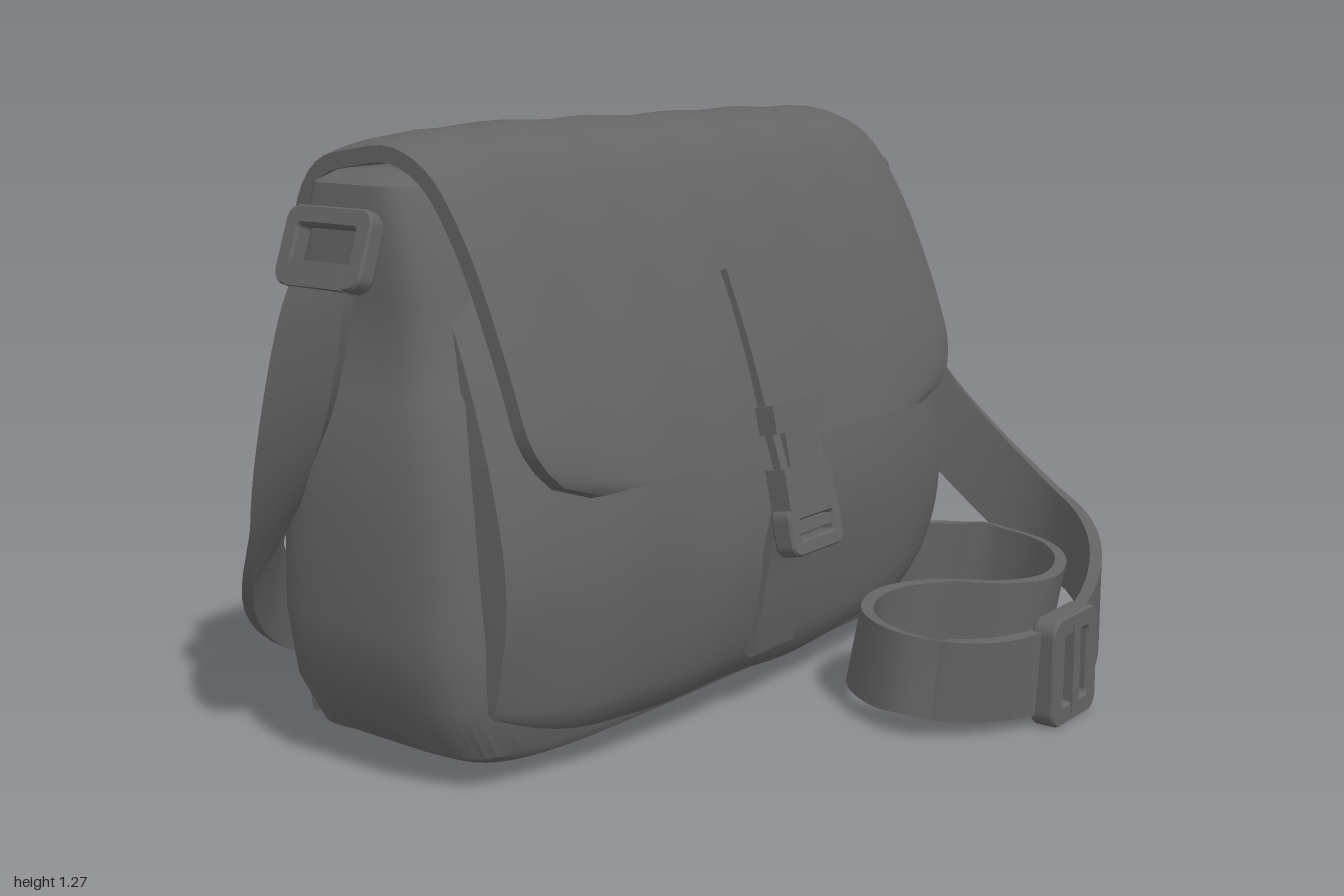
import * as THREE from 'three';
import { toCreasedNormals } from 'three/addons/utils/BufferGeometryUtils.js';

const fabric = new THREE.MeshStandardMaterial({ color: 0x646464 });
fabric.name = 'grey fabric';
const V = (x, y, z) => new THREE.Vector3(x, y, z);

// Closed solid through a list of equal-length rings, facing outward
function loft(rings, crease = 0.6) {
  const n = rings[0].length, m = rings.length;
  const pts = rings.flat(), faces = [];
  for (let i = 0; i < m - 1; i++) {
    for (let j = 0; j < n; j++) {
      const a = i * n + j, b = i * n + (j + 1) % n;
      faces.push([a, b, b + n], [a, b + n, a + n]);
    }
  }
  const centre = (r) => r.reduce((s, p) => s.add(p), V(0, 0, 0)).divideScalar(n);
  const c0 = pts.push(centre(rings[0])) - 1, c1 = pts.push(centre(rings[m - 1])) - 1;
  for (let j = 0; j < n; j++) {
    const k = (j + 1) % n, e = (m - 1) * n;
    faces.push([c0, k, j], [c1, e + j, e + k]);
  }
  const volume = faces.reduce((s, [a, b, c]) => s + pts[a].dot(pts[b].clone().cross(pts[c])), 0);
  if (volume < 0) faces.forEach((f) => f.reverse());
  const g = new THREE.BufferGeometry().setFromPoints(pts);
  g.setIndex(faces.flat());
  return toCreasedNormals(g, crease);
}

// Soft cloth creases
const wrinkle = (x, y) => 0.0025 * (Math.sin(8 * x + 6 * y) + Math.sin(11 * y - 7 * x + 2) + Math.sin(15 * x + 9 * y * x));

// Cloth panel swept along a [y, z] profile, with rounded far corners and sides that fall away by edge
function panel(profile, range, { round, thick, rows, edge, power }) {
  const curve = new THREE.CatmullRomCurve3(profile.map(([y, z]) => V(0, y, z)));
  const len = curve.getLength(), rings = [], cols = 36;
  for (let i = 0; i <= rows; i++) {
    const t = i / rows, p = curve.getPointAt(t), d = curve.getTangentAt(t);
    const left = Math.min(round, len * (1 - t));
    const inset = round - Math.sqrt(Math.max(0, round ** 2 - (round - left) ** 2));
    const [x0, x1] = range(t), top = [], under = [];
    for (let j = 0; j <= cols; j++) {
      const u = (j / cols) * 2 - 1;
      const x = THREE.MathUtils.lerp(x0 + inset, x1 - inset, j / cols);
      const o = wrinkle(x, p.y + p.z) - edge * Math.abs(u) ** power;
      top.push(V(x, p.y + d.z * o, p.z - d.y * o));
      under.unshift(V(x, p.y + d.z * (o - thick), p.z - d.y * (o - thick)));
    }
    rings.push([...top, ...under]);
  }
  return loft(rings);
}

// Flat webbing: rows of [x, y, z, half-width vector]
function ribbon(rows, steps, thick = 0.014) {
  const path = new THREE.CatmullRomCurve3(rows.map((r) => V(r[0], r[1], r[2])));
  const width = new THREE.CatmullRomCurve3(rows.map((r) => V(r[3], r[4], r[5])));
  const rings = [];
  for (let i = 0; i <= steps; i++) {
    const t = i / steps, c = path.getPoint(t), w = width.getPoint(t);
    const n = path.getTangent(t).cross(w).normalize().multiplyScalar(thick);
    rings.push([[1, 1], [-1, 1], [-1, -1], [1, -1]].map(([a, b]) =>
      c.clone().addScaledVector(w, a).addScaledVector(n, b)));
  }
  return loft(rings, 0.7);
}

function roundRect(path, w, h, r) {
  path.moveTo(-w / 2 + r, -h / 2);
  for (const [sx, sy, a] of [[1, -1, -0.5], [1, 1, 0], [-1, 1, 0.5], [-1, -1, 1]]) {
    path.absarc(sx * (w / 2 - r), sy * (h / 2 - r), r, a * Math.PI, (a + 0.5) * Math.PI, false);
  }
  path.closePath();
  return path;
}

// Rectangular ring in the xy plane
function frame(w, h, border, depth) {
  const s = roundRect(new THREE.Shape(), w, h, border * 0.9);
  s.holes.push(roundRect(new THREE.Path(), w - 2 * border, h - 2 * border, border * 0.4));
  const g = new THREE.ExtrudeGeometry(s, { depth: depth - 0.012, bevelSize: 0.004, bevelThickness: 0.006, bevelSegments: 1, curveSegments: 4 });
  return g.translate(0, 0, -depth / 2 + 0.006);
}

export function createModel() {
  const bag = new THREE.Group();
  bag.name = 'shoulderBag';
  const add = (name, geo, parent = bag) => {
    const m = new THREE.Mesh(geo, fabric);
    m.name = name;
    parent.add(m);
    return m;
  };
  const box = (name, parent, w, h, d, x, y, z) => add(name, new THREE.BoxGeometry(w, h, d).translate(x, y, z), parent);

  // Body with side gussets: [y, x0, x1, z0, z1]
  const layers = [
    [0.05, -0.82, 0.71, -0.55, 0], [0.07, -0.86, 0.745, -0.565, 0.01], [0.18, -0.92, 0.765, -0.575, 0.015],
    [0.32, -0.94, 0.775, -0.585, 0.015], [0.55, -0.925, 0.77, -0.59, 0], [0.77, -0.91, 0.75, -0.58, -0.03],
    [0.79, -0.9, 0.735, -0.575, -0.04], [0.95, -0.89, 0.74, -0.55, -0.075], [1.1, -0.89, 0.77, -0.51, -0.115],
    [1.17, -0.88, 0.785, -0.48, -0.15], [1.19, -0.84, 0.76, -0.45, -0.18]];
  const pow = (v) => Math.sign(v) * Math.abs(v) ** 0.36;
  add('body', loft(layers.map(([y, x0, x1, z0, z1]) => Array.from({ length: 64 }, (_, i) => {
    const a = (i + 0.5) / 64 * Math.PI * 2;
    const z = (z0 + z1) / 2 + pow(Math.sin(a)) * (z1 - z0) / 2;
    return V((x0 + x1) / 2 + pow(Math.cos(a)) * (x1 - x0) / 2 + wrinkle(z * 2, y), y, z);
  }))));

  // Front panel, then one sheet running up the back and over as the flap
  add('frontPanel', panel([[1, -0.03], [0.8, 0.055], [0.6, 0.11], [0.4, 0.13], [0.2, 0.105], [0.1, 0.07], [0.055, 0.01]],
    (t) => [-0.82 - 0.025 * Math.sin(t * 2.6), 0.7 + 0.035 * Math.sin(t * 2.6)],
    { round: 0.06, thick: 0.07, rows: 24, edge: 0.1, power: 4 }));
  add('backAndFlap', panel([[0.06, -0.57], [0.2, -0.593], [0.6, -0.612], [0.8, -0.605], [1.03, -0.565], [1.17, -0.52],
    [1.235, -0.46], [1.262, -0.36], [1.268, -0.25], [1.215, -0.14], [1.09, -0.045], [0.9, 0.045], [0.73, 0.105], [0.59, 0.14]],
    (t) => { const k = Math.max(0, 1 - t / 0.42); return [-0.825 + 0.01 * k, 0.685 + 0.025 * k]; },
    { round: 0.17, thick: 0.032, rows: 64, edge: 0.025, power: 9 }));

  // Arched back pocket
  const arch = new THREE.Shape();
  arch.moveTo(-0.56, 0);
  arch.lineTo(0.56, 0);
  arch.bezierCurveTo(0.72, 0.34, 0.44, 0.68, 0, 0.68);
  arch.bezierCurveTo(-0.44, 0.68, -0.72, 0.34, -0.56, 0);
  const pocket = add('backPocket', toCreasedNormals(new THREE.ExtrudeGeometry(arch,
    { depth: 0.02, bevelSize: 0.02, bevelThickness: 0.012, bevelSegments: 2, curveSegments: 16 }), 0.6));
  pocket.position.set(-0.07, 0.13, -0.608);
  pocket.rotation.x = -0.01;

  // Front closure: webbing and hanging clip
  const web = (rows) => ribbon(rows.map(([y, z]) => [-0.078, y, z, 0.08, 0, 0]), 14, 0.01);
  add('upperWebbing', web([[0.96, 0.028], [0.8, 0.09], [0.66, 0.135], [0.55, 0.17]]));
  add('lowerWebbing', web([[0.46, 0.165], [0.35, 0.14], [0.22, 0.115], [0.13, 0.09]]));
  const clip = new THREE.Group();
  clip.name = 'buckle';
  clip.position.set(-0.078, 0.53, 0.17);
  clip.rotation.x = -0.2;
  bag.add(clip);
  box('clipTop', clip, 0.18, 0.06, 0.05, 0, 0.125, 0);
  box('clipNeck', clip, 0.11, 0.12, 0.04, 0, 0.05, 0);
  box('clipSocket', clip, 0.17, 0.1, 0.05, 0, -0.03, 0);
  const loop = add('clipLoop', frame(0.18, 0.1, 0.025, 0.05), clip);
  loop.position.y = -0.115;
  box('clipBar', clip, 0.15, 0.022, 0.04, 0, -0.11, 0);

  // Rings and tabs at both ends
  for (const [side, x, y, z] of [[1, 0.83, 1.06, -0.3], [-1, -0.915, 1.05, -0.33]]) {
    const end = new THREE.Group();
    end.name = side > 0 ? 'leftRing' : 'rightRing';
    end.position.set(x, y, z);
    end.rotation.z = side * 0.35;
    bag.add(end);
    add('ring', frame(0.225, 0.15, 0.03, 0.04), end).rotation.y = Math.PI / 2;
    box('ringTab', end, 0.1, 0.025, 0.15, -side * 0.035, 0.055, 0);
    box('strapFold', end, 0.05, 0.05, 0.15, 0, -0.055, 0);
  }

  // Shoulder strap: down one end, coiled in front, back to the base
  const coil = [[-0.04, 0.5], [-0.04, 0.37], [0.05, 0.245], [0.2, 0.195], [0.33, 0.25],
    [0.42, 0.39], [0.51, 0.44], [0.66, 0.4], [0.78, 0.3], [0.84, 0.16], [0.83, 0.04]];
  add('frontStrap', ribbon([
    [0.855, 1.02, -0.3, 0, 0, 0.07], [0.87, 0.95, -0.295, 0.015, 0.01, 0.07], [0.9, 0.72, -0.25, 0.035, 0.03, 0.07],
    [0.945, 0.52, -0.16, 0.035, 0.055, 0.07], [0.97, 0.37, -0.015, 0.02, 0.08, 0.05], [0.95, 0.23, 0.19, 0.01, 0.095, 0.03],
    [0.83, 0.18, 0.38, 0, 0.1, 0.01], [0.55, 0.145, 0.56, 0, 0.1, 0], [0.22, 0.125, 0.65, 0, 0.095, 0],
    [0.06, 0.12, 0.6, 0, 0.09, 0.01],
    ...coil.map(([x, z]) => [x, 0.125, z, 0.01, 0.085, 0.012]),
    [0.77, 0.13, -0.05, 0, 0.08, 0], [0.73, 0.125, -0.13, 0, 0.07, 0]], 130));

  // Other half: down the far end and along the back
  add('backStrap', ribbon([
    [-0.925, 1.01, -0.33, 0, 0, 0.07], [-0.95, 0.92, -0.34, 0.015, 0, 0.07], [-0.967, 0.74, -0.38, 0.025, 0.02, 0.07],
    [-0.945, 0.52, -0.48, 0.02, 0.06, 0.06], [-0.87, 0.34, -0.61, 0.01, 0.09, 0.03], [-0.7, 0.23, -0.665, 0, 0.1, 0.01],
    [-0.3, 0.18, -0.67, 0, 0.1, 0.01], [0.1, 0.16, -0.645, 0, 0.09, 0], [0.52, 0.15, -0.59, 0, 0.08, 0]], 50));

  // Strap adjuster
  const slider = add('strapAdjuster', frame(0.19, 0.23, 0.035, 0.055));
  slider.position.set(0.22, 0.12, 0.655);
  box('adjusterBar', slider, 0.03, 0.2, 0.03, 0, 0, 0.015);
  return bag;
}
